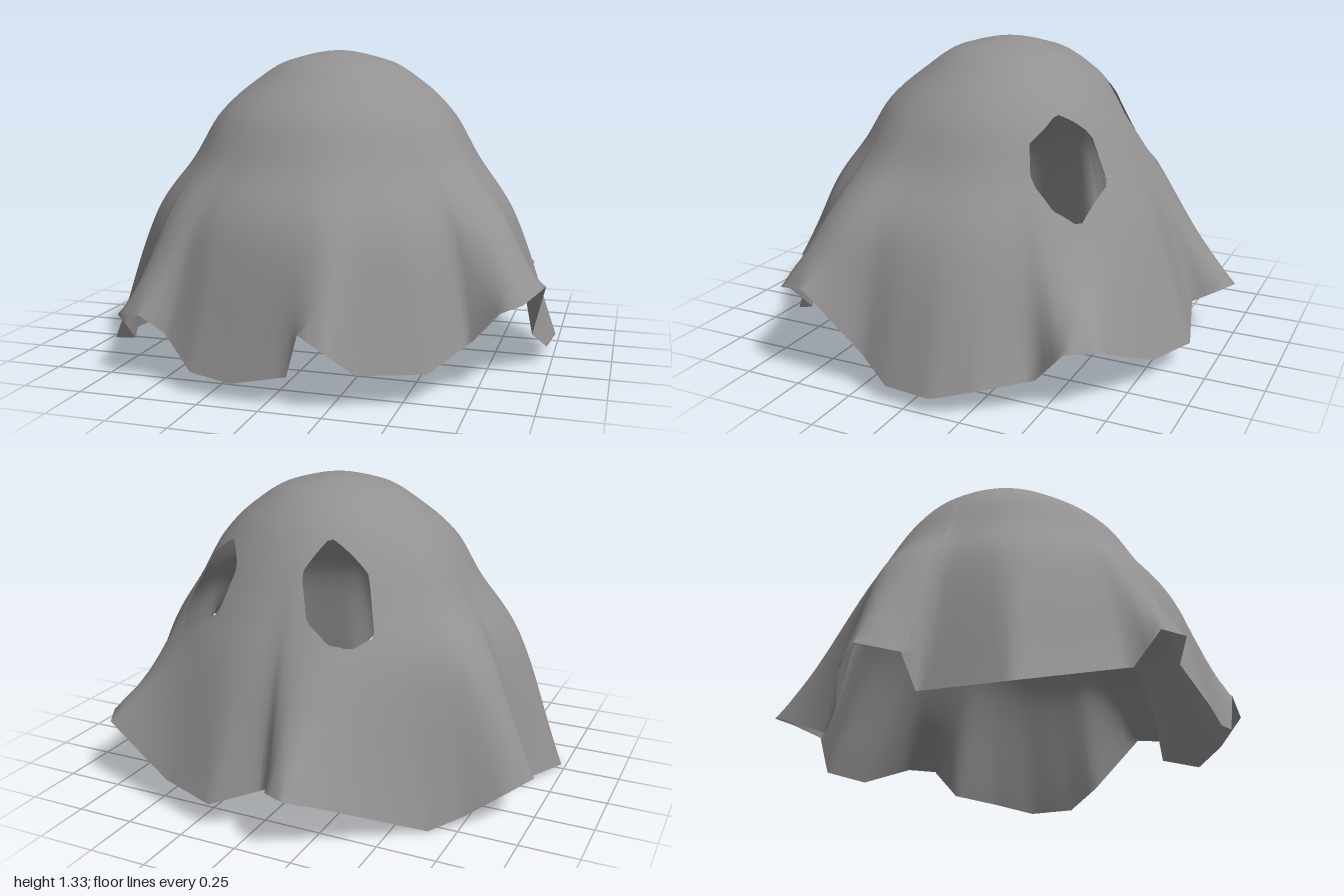
import * as THREE from 'three';

const CX = 0.02; // apex position in x
const TOP = 1.33; // apex height

// Hem corners: x, height, z
const hem = [
  [-0.22, 0.25, -1], [-0.12, 0.25, -0.96], [-0.06, 0.2, -0.85], [0.17, 0.11, -0.91],
  [0.43, 0.13, -0.83], [0.78, 0.29, -0.73], [0.85, 0.29, -0.61], [0.81, 0.14, -0.48],
  [0.94, 0.115, -0.3], [1, 0.07, -0.12], [0.98, 0.07, 0.09], [0.93, 0.16, 0.23],
  [1, 0.42, 0.45], [0.93, 0.38, 0.61], [0.85, 0.35, 0.64], [0.74, 0.22, 0.6],
  [0.6, 0.13, 0.78], [0.35, 0.14, 0.9], [0.27, 0.24, 1], [0.15, 0.3, 0.975],
  [0.1, 0.13, 0.96], [-0.14, 0.07, 0.93], [-0.32, 0.09, 0.9], [-0.47, 0.21, 0.81],
  [-0.56, 0.285, 0.85], [-0.7, 0.26, 0.77], [-0.68, 0.13, 0.66], [-0.98, 0, 0.29],
  [-0.85, 0.05, -0.11], [-0.94, 0.17, -0.14], [-1, 0.2, -0.3], [-0.92, 0.16, -0.39],
  [-0.76, 0.05, -0.46], [-0.64, 0, -0.55], [-0.32, 0.2, -0.9],
].map(([x, y, z]) => ({ x: x - CX, y, z, a: Math.atan2(z, x - CX) })).sort((p, q) => p.a - q.a);

// Eye openings, outlined in plan (x, z)
const eyes = [
  [[-0.38, -0.51], [-0.31, -0.59], [-0.23, -0.625], [-0.13, -0.61], [-0.06, -0.515], [-0.135, -0.4], [-0.31, -0.41]],
  [[0.26, -0.48], [0.305, -0.575], [0.51, -0.535], [0.555, -0.44], [0.55, -0.34], [0.485, -0.305], [0.42, -0.34], [0.345, -0.36]],
];

// Distance along direction (dx, dz) from (ox, oz) to the segment p-q, or null
function hit(ox, oz, dx, dz, p, q) {
  const ex = q[0] - p[0], ez = q[1] - p[1];
  const den = dx * ez - dz * ex;
  if (Math.abs(den) < 1e-9) return null;
  const wx = p[0] - ox, wz = p[1] - oz;
  const t = (wx * ez - wz * ex) / den, u = (wx * dz - wz * dx) / den;
  return t > 0 && u >= -1e-6 && u <= 1 + 1e-6 ? t : null;
}

// Hem radius and height in a given direction
function hemAt(angle) {
  const n = hem.length;
  const wrapped = Math.atan2(Math.sin(angle), Math.cos(angle));
  let i = hem.findIndex((p) => p.a > wrapped);
  if (i < 0) i = 0;
  const p = hem[(i + n - 1) % n], q = hem[i];
  const dx = Math.cos(angle), dz = Math.sin(angle);
  const r = hit(0, 0, dx, dz, [p.x, p.z], [q.x, q.z]) ?? Math.hypot(p.x, p.z);
  const span = Math.hypot(q.x - p.x, q.z - p.z);
  const k = Math.min(1, Math.hypot(r * dx - p.x, r * dz - p.z) / span);
  return { r, y: p.y + (q.y - p.y) * k };
}

// Hem averaged over a fan of directions, so folds soften towards the top
function softHem(angle, width) {
  const n = 21;
  let r = 0, y = 0;
  for (let i = 0; i < n; i++) {
    const h = hemAt(angle + width * ((2 * i) / (n - 1) - 1));
    r += h.r / n;
    y += h.y / n;
  }
  return { r, y };
}

// Smooth falling curve through the profile points, without overshoot
function curveAt(pts, x) {
  const last = pts.length - 1;
  if (x >= pts[last][0]) return pts[last][1];
  const slope = (i) => (pts[i + 1][1] - pts[i][1]) / (pts[i + 1][0] - pts[i][0]);
  const tangent = (i) => {
    if (i === 0) return 0;
    if (i === last) return slope(last - 1);
    const a = slope(i - 1), b = slope(i);
    return a * b > 0 ? (2 * a * b) / (a + b) : 0;
  };
  const i = pts.findIndex((p) => p[0] > x) - 1;
  const h = pts[i + 1][0] - pts[i][0], u = (x - pts[i][0]) / h, v = 1 - u;
  return pts[i][1] * (1 + 2 * u) * v * v + pts[i + 1][1] * u * u * (3 - 2 * u)
    + h * u * v * (tangent(i) * v - tangent(i + 1) * u);
}

// Bump of height 1 around a direction
function lobe(angle, centre, width) {
  const d = Math.atan2(Math.sin(angle - centre), Math.cos(angle - centre));
  return Math.exp(-((d / width) ** 2));
}

// Cloth height at radius r: round dome, bulging shoulder, then a drop to the hem
function heightAt(r, angle) {
  const t0 = Math.min(1, r / hemAt(angle).r);
  const edge = softHem(angle, 0.4 * (1 - t0)).r;
  const t = Math.min(1, r / edge);
  const rim = softHem(angle, 0.5 * (1 - t ** 3));
  const rr = r * (1 + (rim.r / edge - 1) * t ** 4);
  const front = Math.sin(angle), side = Math.cos(angle) ** 2, flare = rim.r - 0.97;
  const shoulder = 0.06 * lobe(angle, 0.42, 0.3) + 0.03 * lobe(angle, -2.7, 0.35) - 0.025 * lobe(angle, -0.8, 0.3);
  return curveAt([[0, TOP], [0.22, 1.287], [0.385 + 0.01 * side, 1.18],
    [0.515 + 0.1 * flare + 0.02 * front + 0.012 * side, 1.05],
    [0.63 + 0.2 * flare + 0.02 * front + 0.3 * shoulder, 0.87],
    [0.78 + 0.5 * flare + 0.03 * front + shoulder, 0.64], [rim.r, rim.y]], rr);
}

// Pushes a plan point inside an eye out to its edge; returns the eye number or -1
function pushOut(pt) {
  for (let e = 0; e < eyes.length; e++) {
    const poly = eyes[e], n = poly.length;
    const cx = poly.reduce((s, p) => s + p[0], 0) / n, cz = poly.reduce((s, p) => s + p[1], 0) / n;
    const dx = pt[0] - cx, dz = pt[1] - cz;
    for (let i = 0; i < n; i++) {
      const t = hit(cx, cz, dx, dz, poly[i], poly[(i + 1) % n]);
      if (t !== null && t > 1) {
        pt[0] = cx + dx * t;
        pt[1] = cz + dz * t;
        return e;
      }
    }
  }
  return -1;
}

function sheetGeometry() {
  // Columns pass through every hem corner
  const angles = [];
  hem.forEach((p, i) => {
    const next = i + 1 < hem.length ? hem[i + 1].a : hem[0].a + Math.PI * 2;
    const steps = Math.max(1, Math.ceil((next - p.a) / 0.04));
    for (let k = 0; k < steps; k++) angles.push(p.a + ((next - p.a) * k) / steps);
  });
  const rings = 48, cols = angles.length;
  const pos = [CX, TOP, 0], inEye = [-1], index = [];
  for (let j = 1; j <= rings; j++) {
    for (const a of angles) {
      const r = (hemAt(a).r * j) / rings;
      const pt = [CX + r * Math.cos(a), r * Math.sin(a)];
      const eye = pushOut(pt);
      inEye.push(eye);
      const angle = eye < 0 ? a : Math.atan2(pt[1], pt[0] - CX);
      pos.push(pt[0], heightAt(Math.hypot(pt[0] - CX, pt[1]), angle), pt[1]);
    }
  }
  // Faces lying wholly inside an eye are left out
  const tri = (a, b, c) => {
    if (inEye[a] >= 0 && inEye[a] === inEye[b] && inEye[b] === inEye[c]) return;
    index.push(a, b, c);
  };
  const id = (j, i) => 1 + (j - 1) * cols + (i % cols);
  for (let i = 0; i < cols; i++) {
    tri(0, id(1, i + 1), id(1, i));
    for (let j = 1; j < rings; j++) {
      tri(id(j, i), id(j + 1, i + 1), id(j + 1, i));
      tri(id(j, i), id(j, i + 1), id(j + 1, i + 1));
    }
  }
  const g = new THREE.BufferGeometry();
  g.setAttribute('position', new THREE.Float32BufferAttribute(pos, 3));
  g.setIndex(index);
  g.computeVertexNormals();
  return g;
}

export function createModel() {
  const group = new THREE.Group();
  group.name = 'drapedSheet';
  const cloth = new THREE.MeshStandardMaterial({ color: 0x949192, side: THREE.DoubleSide });
  cloth.name = 'grey cloth';
  const sheet = new THREE.Mesh(sheetGeometry(), cloth);
  sheet.name = 'sheetWithEyeHoles';
  group.add(sheet);
  return group;
}
